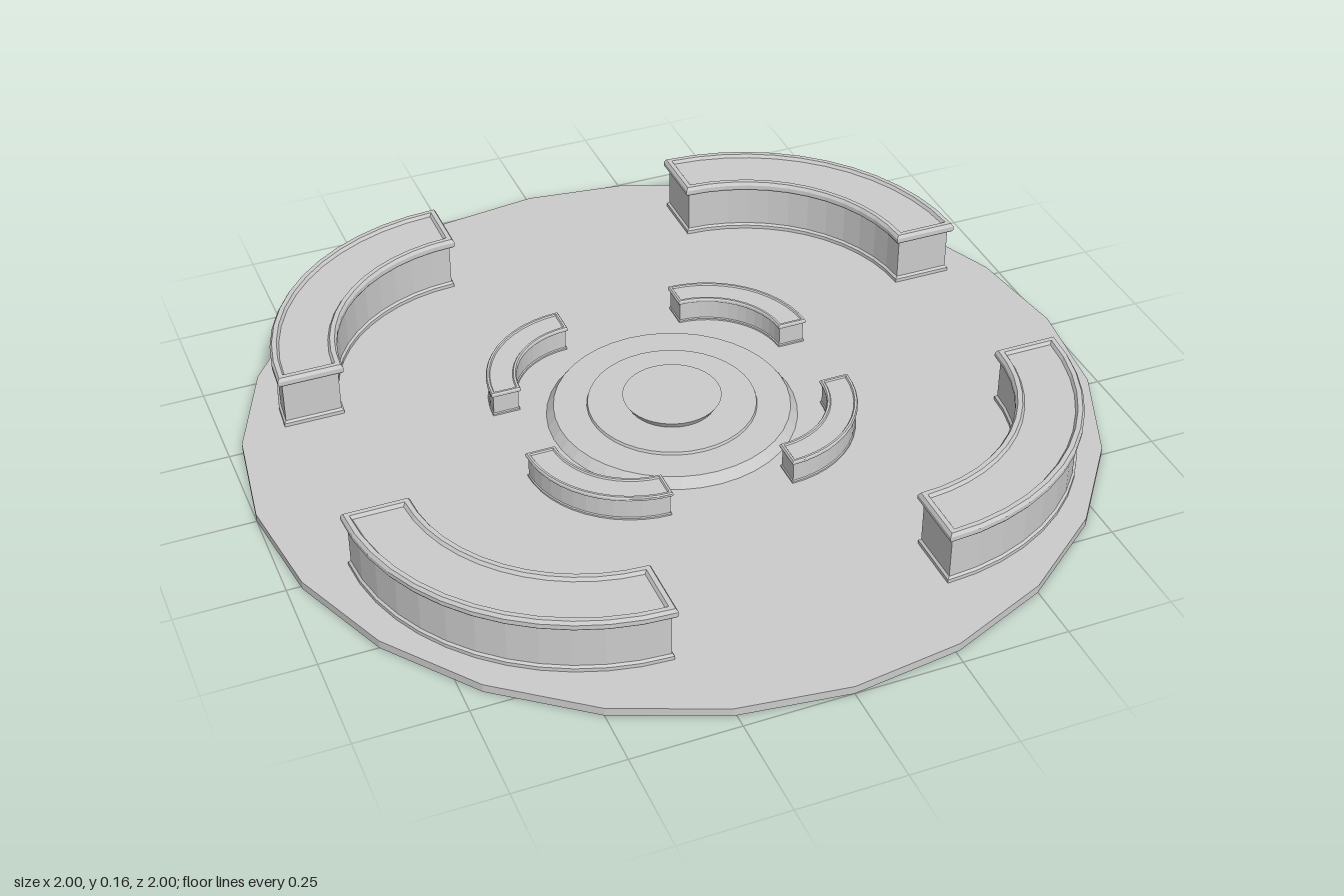
import * as THREE from 'three';

const mat = new THREE.MeshStandardMaterial({ color: 0xcccccc, flatShading: true });
const SEG = 12; // facets along each quarter arc

// Outline of a quarter-ring inset by d on every side, centred on the arc's own centre
function arcLoop(d, y) {
  const loop = [];
  const add = (r, t) => {
    const a = Math.asin(d / r);
    const ang = a + (Math.PI / 2 - 2 * a) * t;
    loop.push([r * Math.cos(ang), y, r * Math.sin(ang)]);
  };
  for (let i = 0; i <= SEG; i++) add(0.557 - d, i / SEG);
  for (let i = SEG; i >= 0; i--) add(0.401 + d, i / SEG);
  return loop;
}

// Curved block: plinth, wall, overhanging rounded rim and sunken top panel
function curvedBlockGeometry() {
  const profile = [ // [inset, height]
    [0.006, 0], [0.006, 0.009], [0.011, 0.014], [0.011, 0.116], [0.003, 0.119],
    [0, 0.124], [0, 0.134], [0.005, 0.142], [0.016, 0.142], [0.021, 0.134],
  ];
  const loops = profile.map(([d, y]) => arcLoop(d, y));
  const n = loops[0].length, pos = [];
  const tri = (...pts) => pts.forEach((p) => pos.push(...p));
  for (let k = 0; k < loops.length - 1; k++) {
    const a = loops[k], b = loops[k + 1];
    for (let i = 0; i < n; i++) {
      const j = (i + 1) % n;
      tri(a[i], b[i], b[j]);
      tri(a[i], b[j], a[j]);
    }
  }
  // top panel, as a strip between outer and inner arcs
  const top = loops[loops.length - 1];
  for (let i = 0; i < SEG; i++) {
    const o0 = top[i], o1 = top[i + 1], i0 = top[n - 1 - i], i1 = top[n - 2 - i];
    tri(o0, i0, o1);
    tri(o1, i0, i1);
  }
  const g = new THREE.BufferGeometry();
  g.setAttribute('position', new THREE.Float32BufferAttribute(pos, 3));
  g.computeVertexNormals();
  return g;
}

export function createModel() {
  const model = new THREE.Group();

  // Floor disc
  const floor = new THREE.Mesh(new THREE.CylinderGeometry(1, 1, 0.02, 24), mat);
  floor.name = 'floorDisc';
  floor.position.y = 0.01;
  model.add(floor);

  // Four large and four small curved blocks, one per quadrant
  const block = curvedBlockGeometry();
  const quadrants = [[1, 1], [1, -1], [-1, -1], [-1, 1]];
  const ringOfBlocks = (name, scale, hx, hz) => {
    const ring = new THREE.Group();
    ring.name = name + 'Ring';
    ring.position.set(0.005, 0.02, -0.0215);
    quadrants.forEach(([sx, sz], k) => {
      const m = new THREE.Mesh(block, mat);
      m.name = name;
      m.scale.setScalar(scale);
      m.rotation.y = k * Math.PI / 2;
      m.position.set(sx * hx, 0, sz * hz);
      ring.add(m);
    });
    model.add(ring);
  };
  ringOfBlocks('largeCurvedBlock', 1, 0.311, 0.2565);
  ringOfBlocks('smallCurvedBlock', 0.461, 0.1445, 0.1175);

  // Stepped centre dais: [name, top radius, bottom radius, bottom y, top y]
  const dais = new THREE.Group();
  dais.name = 'centreDais';
  dais.position.set(0.002, 0, -0.005);
  [
    ['lowerStep', 0.278, 0.295, 0.02, 0.044],
    ['middleStep', 0.198, 0.2, 0.044, 0.051],
    ['topPad', 0.116, 0.105, 0.051, 0.069],
  ].forEach(([name, rt, rb, y0, y1]) => {
    const m = new THREE.Mesh(new THREE.CylinderGeometry(rt, rb, y1 - y0, 40), mat);
    m.name = name;
    m.position.y = (y0 + y1) / 2;
    dais.add(m);
  });
  model.add(dais);

  return model;
}
